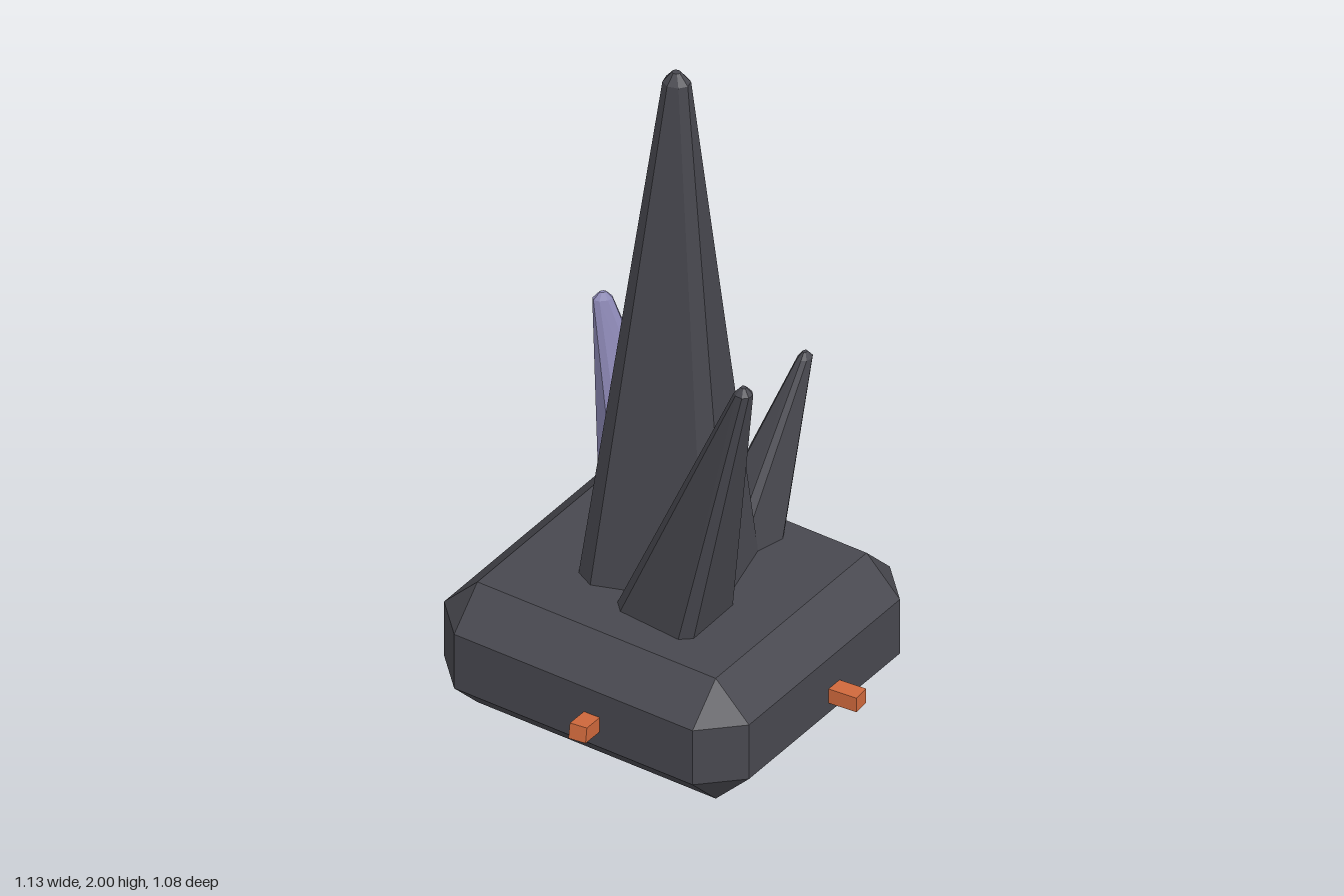
import * as THREE from 'three';
import { ConvexGeometry } from 'three/addons/geometries/ConvexGeometry.js';

const flat = (name, color) => {
  const m = new THREE.MeshStandardMaterial({ color });
  m.name = name;
  return m;
};

// Cuts each corner of a four-sided outline, giving an eight-point ring at height y
function chamferedRing(corners, cut, y) {
  const ring = [];
  corners.forEach(([x, z], i) => {
    for (const [nx, nz] of [corners[(i + 3) % 4], corners[(i + 1) % 4]]) {
      ring.push(new THREE.Vector3(x + (nx - x) * cut, y, z + (nz - z) * cut));
    }
  });
  return ring;
}

// Leaning four-sided spire with bevelled edges and a small blunt cap
function makeSpire(name, material, corners, [tx, ty, tz], radius, capHeight) {
  const cx = corners.reduce((s, c) => s + c[0], 0) / 4;
  const cz = corners.reduce((s, c) => s + c[1], 0) / 4;
  const tipCorners = (r) => corners.map(([x, z]) => {
    const d = Math.hypot(x - cx, z - cz);
    return [tx + (x - cx) / d * r, tz + (z - cz) / d * r];
  });
  const mesh = new THREE.Mesh(new ConvexGeometry([
    ...chamferedRing(corners, 0.12, 0.38),
    ...chamferedRing(tipCorners(radius * 1.25), 0.28, ty - capHeight),
    ...chamferedRing(tipCorners(radius * 0.4), 0.28, ty),
  ]), material);
  mesh.name = name;
  return mesh;
}

// Box with every edge cut at 45 degrees, standing on y = 0
function makeBlock(material) {
  const hx = 0.485, hz = 0.45, h = 0.385, b = 0.106;
  const points = [];
  for (const sx of [-1, 1]) for (const sz of [-1, 1]) {
    for (const y of [0, h]) points.push(new THREE.Vector3(sx * (hx - b), y, sz * (hz - b)));
    for (const y of [b, h - b]) {
      points.push(new THREE.Vector3(sx * hx, y, sz * (hz - b)));
      points.push(new THREE.Vector3(sx * (hx - b), y, sz * hz));
    }
  }
  const mesh = new THREE.Mesh(new ConvexGeometry(points), material);
  mesh.name = 'baseBlock';
  mesh.rotation.y = 0.3;
  return mesh;
}

export function createModel() {
  const stone = flat('dark stone', 0x48484f);
  const lilac = flat('lilac crystal', 0x8d89b6);
  const copper = flat('copper', 0xd0693c);
  const model = new THREE.Group();
  model.name = 'crystalCluster';

  model.add(makeBlock(stone));

  // Spires: outline corners at the block top run left, front, right, back
  model.add(makeSpire('mainSpire', stone,
    [[-0.31, -0.09], [-0.108, 0.247], [0.215, 0], [0.06, -0.255]], [0.037, 2, 0.015], 0.037, 0.03));
  model.add(makeSpire('sideSpire', stone,
    [[-0.02, 0.01], [0.04, 0.235], [0.295, 0.18], [0.22, -0.05]], [0.456, 1.27, 0.118], 0.026, 0.02));
  model.add(makeSpire('backSpire', stone,
    [[-0.06, -0.12], [0.085, -0.13], [0.075, -0.33], [-0.09, -0.31]], [0, 0.885, -0.44], 0.022, 0.018));
  model.add(makeSpire('lilacSpire', lilac,
    [[-0.335, -0.01], [-0.2, 0.01], [-0.09, -0.18], [-0.21, -0.26]], [-0.343, 1.06, -0.038], 0.024, 0.02));

  // Copper pegs, one through each side of the block: yaw, reach, height, upward tilt
  [
    ['frontPeg', 0.43, 0.535, 0.183, 0.17],
    ['leftPeg', 1.96, 0.569, 0.16, 0],
    ['backPeg', 3.57, 0.543, 0.18, -0.15],
    ['rightPeg', 5.09, 0.569, 0.152, -0.15],
  ].forEach(([name, yaw, reach, y, tilt]) => {
    const peg = new THREE.Mesh(new THREE.BoxGeometry(0.05, 0.045, 0.18), copper);
    peg.name = name;
    const d = reach - 0.09;
    peg.position.set(Math.sin(yaw) * d, y - Math.sin(tilt) * 0.04, Math.cos(yaw) * d);
    peg.rotation.set(-tilt, yaw, 0, 'YXZ');
    model.add(peg);
  });

  return model;
}
